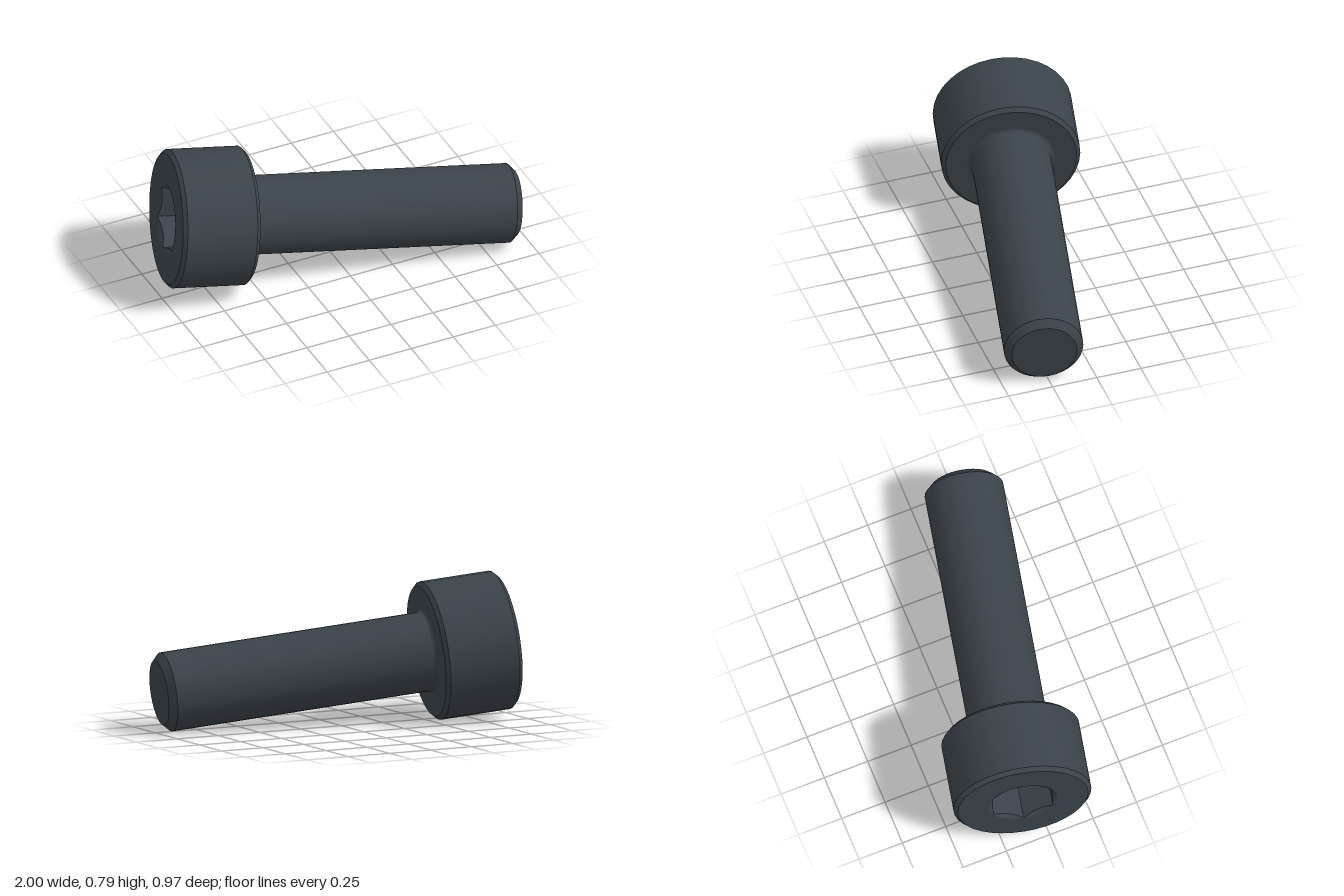
import * as THREE from 'three';
import { toCreasedNormals } from 'three/addons/utils/BufferGeometryUtils.js';

const SIDES = 36;
const LENGTH = 1.929;        // head face to tip
const HEAD_H = 0.429, HEAD_R = 0.375, BEVEL = 0.021;
const SHANK_R = 0.214, TIP_BEVEL = 0.038, FILLET = 0.022;
const FLAT = 0.161, RIM = 0.188, SOCKET_DEPTH = 0.214;

// Turned profile; points are [radius, distance along the axis]
function lathe(points) {
  return new THREE.LatheGeometry(points.map(([r, y]) => new THREE.Vector2(r, y)), SIDES);
}

// Round floor, wall and countersink reshaped so the wall is hexagonal
function socketGeometry() {
  const geo = lathe([[0, SOCKET_DEPTH], [FLAT, SOCKET_DEPTH], [FLAT, 0.015], [RIM, 0]]);
  const pos = geo.attributes.position;
  for (let i = 0; i < pos.count; i++) {
    const row = i % 4, column = Math.floor(i / 4);
    if (row !== 1 && row !== 2) continue;
    const phi = (column / SIDES) * Math.PI * 2;
    const sector = Math.PI / 3;
    const a = phi - Math.round(phi / sector) * sector;
    const r = FLAT / Math.cos(a);
    // The countersink cone meets the flats in shallow arcs
    const y = row === 1 ? SOCKET_DEPTH : (RIM - r) * 0.58;
    pos.setXYZ(i, r * Math.sin(phi), y, r * Math.cos(phi));
  }
  return geo;
}

export function createModel() {
  const steel = new THREE.MeshStandardMaterial({ color: 0x3b434a });
  steel.name = 'dark steel';

  const screw = new THREE.Group();
  screw.name = 'socketHeadScrew';
  const add = (name, geo) => {
    const mesh = new THREE.Mesh(toCreasedNormals(geo, 0.5), steel);
    mesh.name = name;
    screw.add(mesh);
  };

  // Cylindrical head, bevelled at both rims
  add('head', lathe([
    [RIM, 0], [HEAD_R - BEVEL, 0], [HEAD_R, BEVEL],
    [HEAD_R, HEAD_H - BEVEL], [HEAD_R - BEVEL, HEAD_H], [SHANK_R + FILLET, HEAD_H],
  ]));

  add('hexSocket', socketGeometry());

  // Shank with a fillet under the head and a bevelled tip
  const shank = [];
  for (let i = 0; i <= 4; i++) {
    const a = (i / 4) * Math.PI / 2;
    shank.push([SHANK_R + FILLET * (1 - Math.sin(a)), HEAD_H + FILLET * (1 - Math.cos(a))]);
  }
  shank.push([SHANK_R, LENGTH - TIP_BEVEL], [SHANK_R - TIP_BEVEL, LENGTH], [0, LENGTH]);
  add('shank', lathe(shank));

  // Lay the screw down, tilted, with its axis towards the tip
  const axis = new THREE.Vector3(0.972, -0.109, 0.209).normalize();
  const down = new THREE.Vector3(0, -1, 0).addScaledVector(axis, axis.y).normalize();
  const side = new THREE.Vector3().crossVectors(down, axis);
  screw.quaternion.setFromRotationMatrix(new THREE.Matrix4().makeBasis(down, axis, side));
  screw.position.set(-0.917, 0.419, -0.121);

  const model = new THREE.Group();
  model.name = 'screwModel';
  model.add(screw);
  return model;
}
